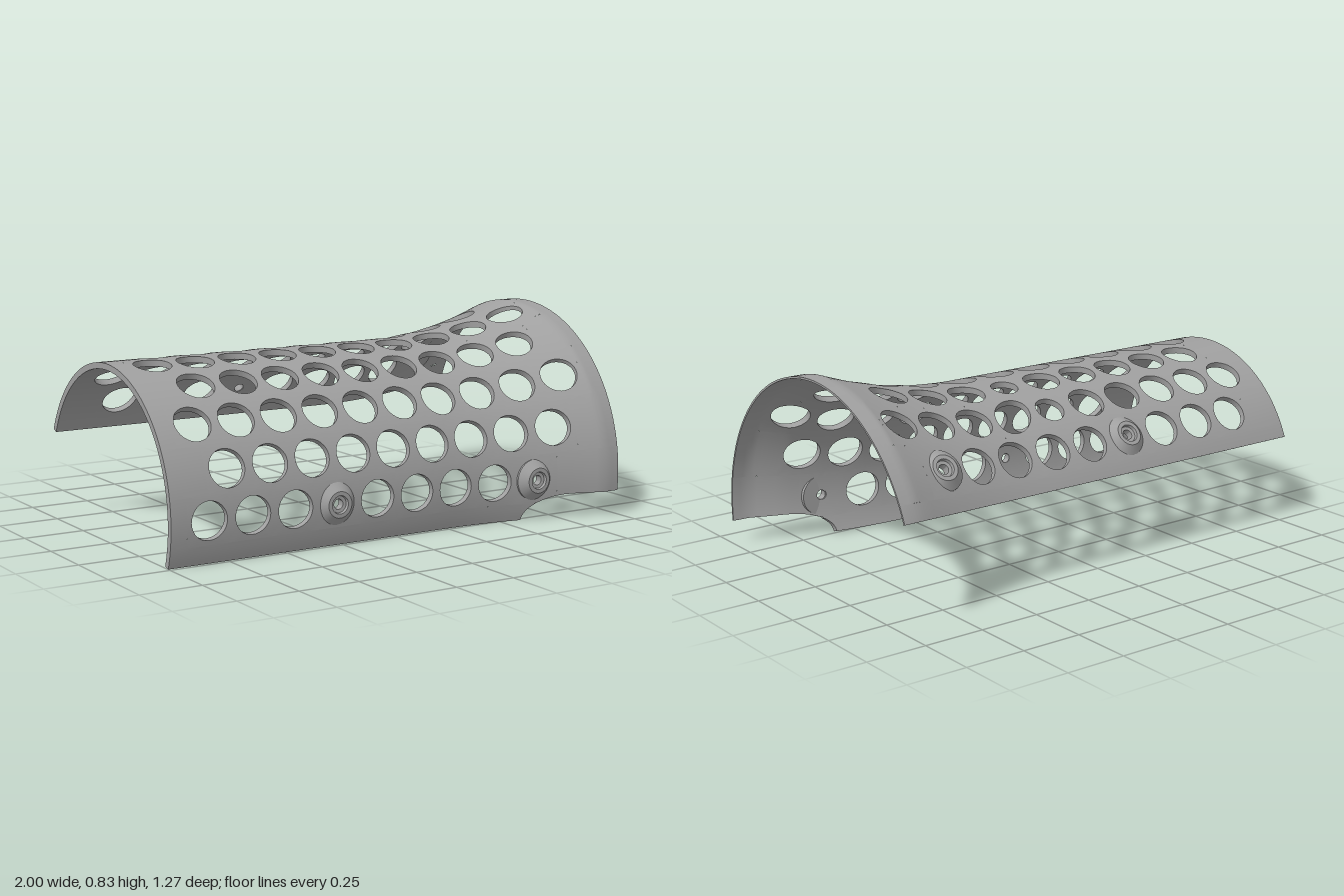
import * as THREE from 'three';
import { toCreasedNormals } from 'three/addons/utils/BufferGeometryUtils.js';

const YC = 0.168, ZC = -0.02, PITCH = 0.185;
const DEG = Math.PI / 180, ROW = 20.2 * DEG, HALF = ROW / 2, TOP = 157.6 * DEG;
const { lerp, clamp } = THREE.MathUtils;

// Outer radius along the length: straight tube, then a trumpet flare
const radius = x => 0.533 + 0.127 * clamp((x - 0.25) / 0.68, 0, 1) ** 2;
const thickness = x => lerp(0.025, 0.008, clamp((x - 0.8) / 0.2, 0, 1));

// Angle of the front lower edge: flat on the ground, then a rounded notch
function lowEdge(x) {
  const y = x < 0.59 ? 0 : 0.1 * Math.sqrt(1 - clamp((0.8 - x) / 0.21, 0, 1) ** 2);
  return Math.asin((y - YC) / radius(x));
}

function surface([x, a], inner) {
  const r = radius(x) - (inner ? thickness(x) : 0);
  return [x, YC + r * Math.sin(a), ZC + r * Math.cos(a)];
}

// Adds a two-sided patch of the shell; walls lists the edges to close
function addPatch(out, nu, nv, fn, walls = '') {
  const quad = (a, b, c, d) => out.push(...a, ...b, ...c, ...a, ...c, ...d);
  const point = (i, j, inner) => surface(fn(i / nu, j / nv), inner);
  for (let i = 0; i < nu; i++) for (let j = 0; j < nv; j++) {
    quad(point(i, j), point(i + 1, j), point(i + 1, j + 1), point(i, j + 1));
    quad(point(i, j, 1), point(i, j + 1, 1), point(i + 1, j + 1, 1), point(i + 1, j, 1));
  }
  const wall = (p, q, flip) => {
    const [a, b] = flip ? [q, p] : [p, q];
    quad(point(...a, 1), point(...a), point(...b), point(...b, 1));
  };
  for (let j = 0; j < nv; j++) {
    if (walls.includes('a')) wall([0, j], [0, j + 1], false);
    if (walls.includes('b')) wall([nu, j], [nu, j + 1], true);
  }
  for (let i = 0; i < nu; i++) {
    if (walls.includes('c')) wall([i, 0], [i + 1, 0], true);
    if (walls.includes('d')) wall([i, nv], [i + 1, nv], false);
  }
}

// One cell of the grid: a square of shell around an oval hole
function addCell(out, xc, ac, hole, row, walls) {
  const { r, minor = r, tilt = 0, dx = 0, ds = 0 } = hole;
  const R = radius(xc);
  addPatch(out, 3, 32, (u, v) => {
    const t = v * Math.PI * 2, c = Math.cos(t), s = Math.sin(t);
    const m = Math.max(Math.abs(c), Math.abs(s));
    const rim = 1 / Math.hypot(Math.cos(t - tilt) / r, Math.sin(t - tilt) / minor);
    const bx = xc + (c / m) * PITCH / 2;
    let ba = ac + (s / m) * HALF;
    if (row === 0) ba = Math.max(ba, lowEdge(bx));
    return [lerp(xc + dx + c * rim, bx, u), lerp(ac + (ds + s * rim) / R, ba, u)];
  }, walls);
}

function makeBoss(x, a, material) {
  // Conical screw seat with a countersunk bore
  const profile = [[0.02, -0.024], [0.085, -0.024], [0.085, -0.008], [0.052, 0.022],
    [0.036, 0.022], [0.033, 0.01], [0.02, 0.008], [0.02, -0.024]];
  const lathe = new THREE.LatheGeometry(profile.map(p => new THREE.Vector2(...p)), 32);
  const boss = new THREE.Mesh(toCreasedNormals(lathe, 0.5), material);
  boss.position.set(...surface([x, a]));
  boss.rotation.x = Math.PI / 2 - a;
  boss.name = 'screwBoss';
  return boss;
}

export function createModel() {
  const group = new THREE.Group();
  group.name = 'perforatedGuard';
  const grey = new THREE.MeshStandardMaterial({ color: 0xa0a0a0 });
  grey.name = 'grey';
  const out = [];

  // Holes that differ from the regular pattern, by row and place
  const special = {
    '5,5': { r: 0.055 },
    '6,5': { r: 0.06 },
    '6,6': { r: 0.1, minor: 0.072, tilt: Math.PI / 4, dx: -0.006, ds: -0.004 },
  };

  // Eight staggered rows of cells with plain bands at both ends
  for (let row = 0; row < 8; row++) {
    const ac = row * ROW, odd = row % 2;
    const count = odd || row === 0 ? 9 : 10;
    const first = odd ? -0.7475 : -0.84;
    for (let k = 0; k < count; k++) {
      const x = first + k * PITCH;
      const isBoss = (row === 0 || row === 7) && (k === 3 || k === 8);
      const hole = isBoss ? { r: 0.022 } : special[`${row},${k}`] || { r: 0.075 };
      addCell(out, x, ac, hole, row, row === 0 && k === 8 ? 'ab' : 'a');
      if (isBoss) group.add(makeBoss(x, ac, grey));
    }
    const left = first - PITCH / 2, right = left + count * PITCH;
    addPatch(out, 2, 8, (u, v) => [lerp(-1, left, u), ac + (v * 2 - 1) * HALF], 'a');
    addPatch(out, 8, 8, (u, v) => {
      const x = lerp(right, 1, u);
      const low = row === 0 ? Math.max(-HALF, lowEdge(x)) : ac - HALF;
      return [x, lerp(low, ac + HALF, v)];
    }, row === 0 ? 'bc' : 'b');
  }

  // Plain strip along the back edge
  addPatch(out, 40, 3, (u, v) => [u * 2 - 1, lerp(7.5 * ROW, TOP, v)], 'abd');

  // Plain strip along the front edge, ending in the notch
  addPatch(out, 40, 4, (u, v) => {
    const x = u <= 0.6 ? -1 + 1.59 * u / 0.6 : 0.59 + 0.09 * ((u - 0.6) / 0.4) ** 2;
    return [x, lerp(Math.min(lowEdge(x), -HALF), -HALF, v)];
  }, 'ac');

  const geometry = new THREE.BufferGeometry();
  geometry.setAttribute('position', new THREE.Float32BufferAttribute(out, 3));
  const shell = new THREE.Mesh(toCreasedNormals(geometry, 0.6), grey);
  shell.name = 'perforatedShell';
  group.add(shell);
  return group;
}
